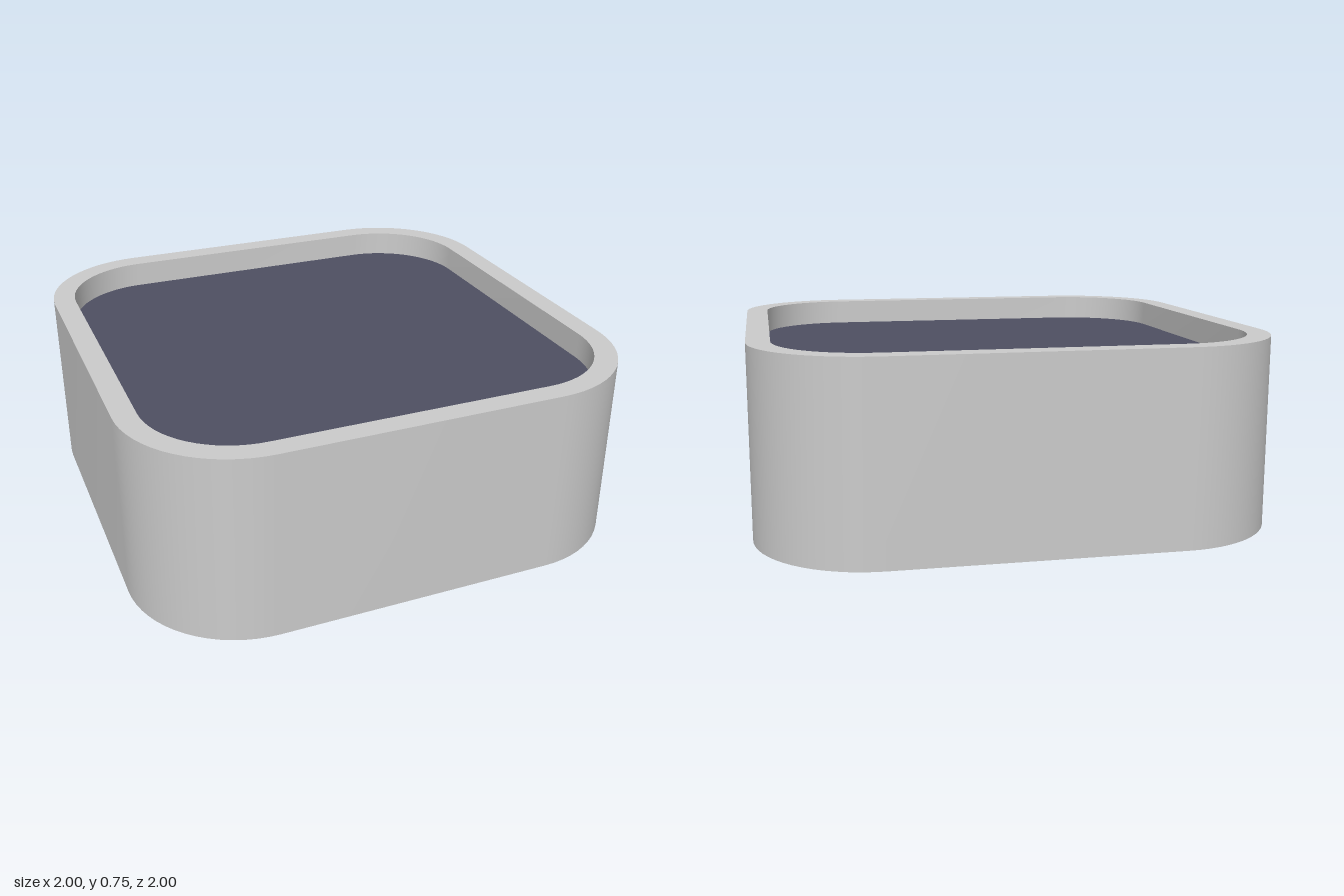
import * as THREE from 'three';
import { toCreasedNormals } from 'three/addons/utils/BufferGeometryUtils.js';

const CORNER = 0.55;  // distance of the corner arc centres from each axis
const HEIGHT = 0.745;
const FLOOR = 0.64;
const STEPS = 16;     // segments per rounded corner

// Rounded-square outline with the given half width, as [x, z] points
function outline(half) {
  const centre = Math.min(CORNER, half);
  const radius = half - centre;
  const points = [];
  for (let corner = 0; corner < 4; corner++) {
    const mid = (corner + 0.5) * Math.PI / 2;
    const cx = Math.sign(Math.cos(mid)) * centre;
    const cz = Math.sign(Math.sin(mid)) * centre;
    for (let i = 0; i <= STEPS; i++) {
      const a = (corner + i / STEPS) * Math.PI / 2;
      points.push([cx + radius * Math.cos(a), cz + radius * Math.sin(a)]);
    }
  }
  return points;
}

// Skin a profile of [half width, y] pairs around the rounded square
function loft(profile) {
  const positions = [], index = [];
  const n = 4 * (STEPS + 1);
  profile.forEach(([half, y], row) => {
    outline(half).forEach(([x, z], i) => {
      positions.push(x, y, z);
      if (row === profile.length - 1) return;
      const a = row * n + i, b = row * n + (i + 1) % n;
      if (half > 0) index.push(a, a + n, b);
      if (profile[row + 1][0] > 0) index.push(b, a + n, b + n);
      else if (half === 0) index.push(a, a + n, b);
    });
  });
  const geometry = new THREE.BufferGeometry();
  geometry.setAttribute('position', new THREE.Float32BufferAttribute(positions, 3));
  geometry.setIndex(index);
  return toCreasedNormals(geometry, Math.PI / 6);
}

export function createModel() {
  const group = new THREE.Group();
  const add = (name, profile, color) => {
    const mesh = new THREE.Mesh(loft(profile), new THREE.MeshStandardMaterial({ color }));
    mesh.name = name;
    group.add(mesh);
  };

  // Tray: underside, outer wall, flat rim, inner wall and recess floor
  add('tray', [[0, 0], [1, 0], [1, HEIGHT], [0.91, HEIGHT], [0.91, FLOOR - 0.04], [0, FLOOR - 0.04]], 0xcccccc);

  // Dark panel set into the recess
  add('insetPanel', [[0.91, FLOOR - 0.04], [0.91, FLOOR], [0, FLOOR]], 0x4e4f62);
  return group;
}
